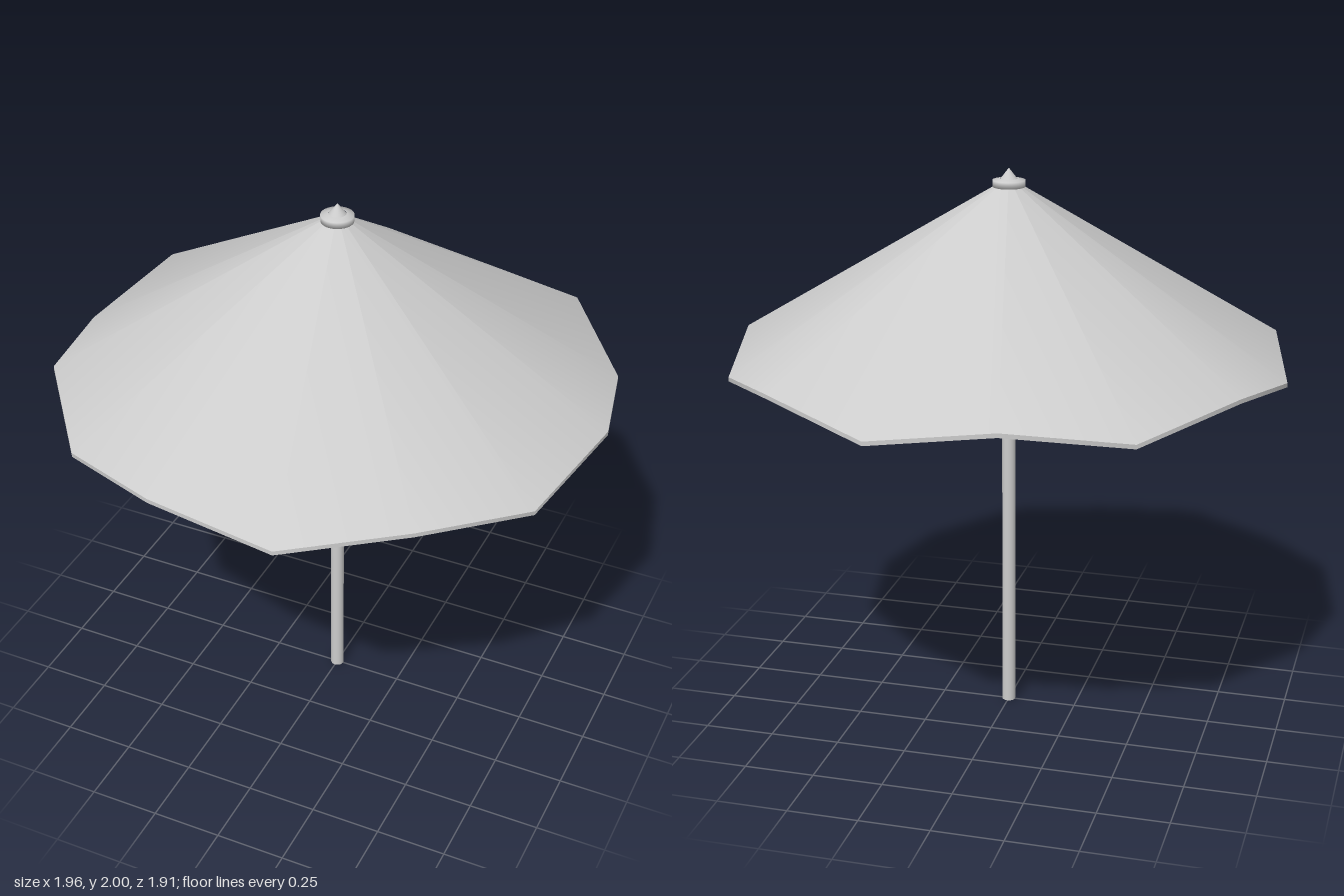
import * as THREE from 'three';

const SIDES = 14, RADIUS = 0.98, THICK = 0.015;
const APEX = 1.967, RIM_HIGH = 1.375, RIM_LOW = 1.31;

// Height of the canopy's upper edge at each rim corner: alternating high and low
const rimHeight = (x, z) =>
  Math.round((Math.atan2(z, x) / (Math.PI * 2)) * SIDES) % 2 === 0 ? RIM_HIGH : RIM_LOW;

// Cone whose rim is scalloped; the smooth cone normals are kept
function canopyLayer(drop, inward) {
  const geo = new THREE.CylinderGeometry(0, RADIUS, 0.63, SIDES, 1, true, Math.PI / 2);
  const p = geo.attributes.position, n = geo.attributes.normal;
  for (let i = 0; i < p.count; i++) {
    const rim = p.getY(i) < 0;
    p.setY(i, (rim ? rimHeight(p.getX(i), p.getZ(i)) : APEX) - drop);
  }
  if (inward) {
    geo.setIndex(Array.from(geo.index.array).reverse());
    for (let i = 0; i < n.count; i++) n.setXYZ(i, -n.getX(i), -n.getY(i), -n.getZ(i));
  }
  return geo;
}

// Narrow band joining the upper and lower cloth
function hemBand() {
  const geo = new THREE.CylinderGeometry(RADIUS, RADIUS, 1, SIDES, 1, true, Math.PI / 2);
  const p = geo.attributes.position;
  for (let i = 0; i < p.count; i++) {
    p.setY(i, rimHeight(p.getX(i), p.getZ(i)) - (p.getY(i) < 0 ? THICK : 0));
  }
  return geo;
}

export function createModel() {
  const group = new THREE.Group();
  group.name = 'parasol';
  const grey = new THREE.MeshStandardMaterial({ color: 0xcccccc });
  grey.name = 'light grey';

  const add = (name, geo, parent = group) => {
    const mesh = new THREE.Mesh(geo, grey);
    mesh.name = name;
    parent.add(mesh);
    return mesh;
  };

  // Canopy
  const canopy = new THREE.Group();
  canopy.name = 'canopy';
  group.add(canopy);
  add('canopyTop', canopyLayer(0, false), canopy);
  add('canopyUnderside', canopyLayer(THICK, true), canopy);
  add('canopyHem', hemBand(), canopy);

  // Pole
  add('pole', new THREE.CylinderGeometry(0.024, 0.024, 1.95, 24)).position.y = 0.975;

  // Collar and pointed cap
  const profile = [[0, 1.935], [0.056, 1.935], [0.057, 1.958], [0.03, 1.963]];
  add('collar', new THREE.LatheGeometry(profile.map(([x, y]) => new THREE.Vector2(x, y)), 32));
  add('finial', new THREE.CylinderGeometry(0, 0.031, 0.04, 24)).position.y = 1.98;

  return group;
}
